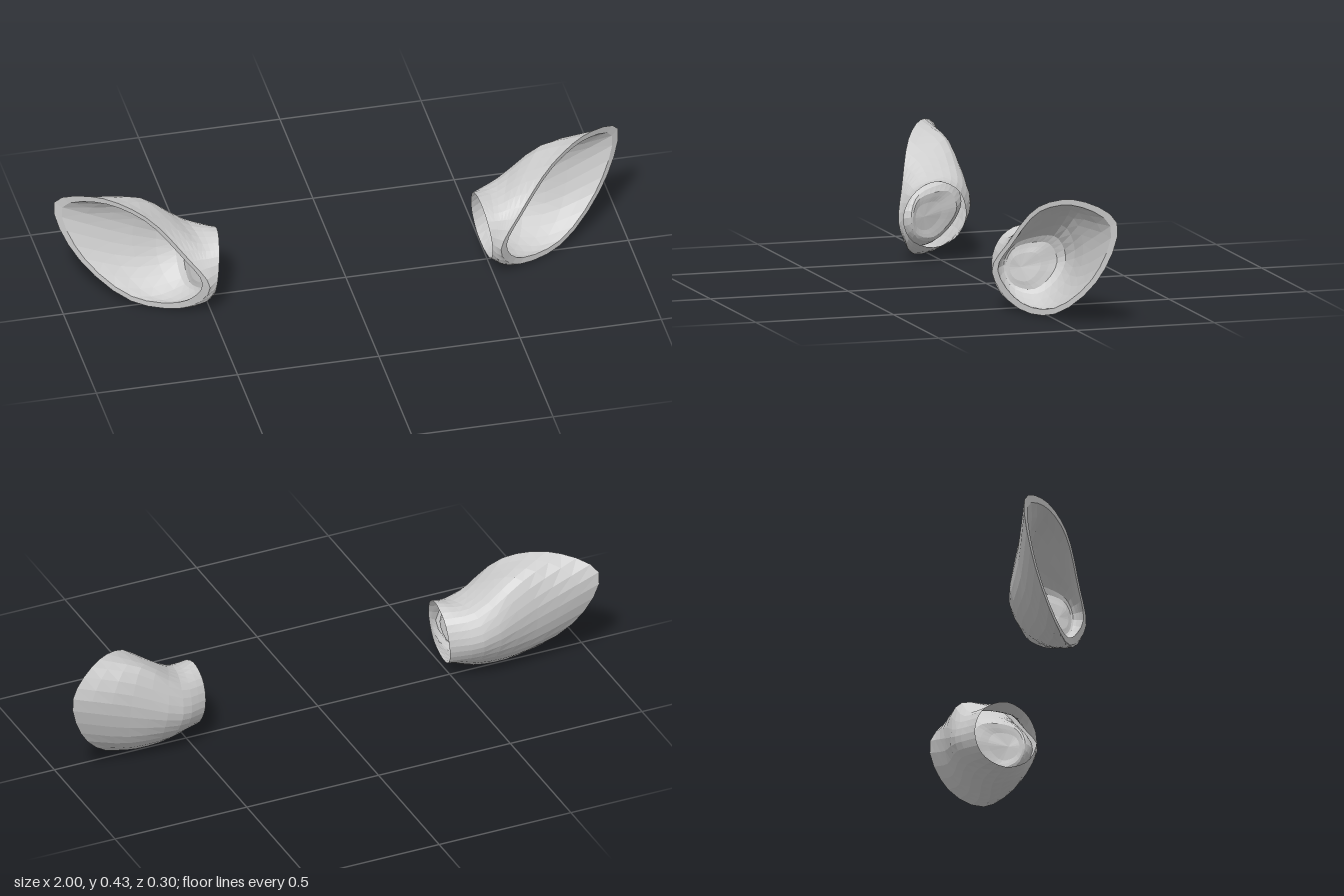
import * as THREE from 'three';

// Cross-section rings of one ear, from neck to rim.
// Each ring runs front, top, back, bottom through eight points.
const V = (x, y, z) => new THREE.Vector3(x, y, z);
const neck = [
  V(.485, .16, .14), V(.472, .245, .105), V(.46, .284, .03), V(.458, .25, -.05),
  V(.463, .165, -.08), V(.475, .085, -.05), V(.488, .05, .03), V(.49, .08, .11)];
const throat = [
  V(.495, .15, .142), V(.515, .243, .105), V(.535, .28, .005), V(.56, .275, -.09),
  V(.57, .19, -.132), V(.58, .105, -.1), V(.57, .024, 0), V(.52, .052, .11)];
const belly = [
  V(.505, .143, .145), V(.55, .247, .106), V(.63, .34, .005), V(.72, .385, -.095),
  V(.77, .275, -.135), V(.76, .115, -.098), V(.67, .006, .005), V(.55, .036, .1)];
const rim = [
  V(.515, .135, .148), V(.59, .25, .112), V(.72, .392, .045), V(.87, .432, -.055),
  V(.998, .37, -.148), V(.94, .18, -.11), V(.76, .02, 0), V(.58, .025, .088)];

const AROUND = 28;

// Evenly sampled closed ring
const sample = pts => {
  const curve = new THREE.CatmullRomCurve3(pts, true);
  return Array.from({ length: AROUND }, (_, i) => curve.getPoint(i / AROUND));
};

const centre = ring => ring.reduce((s, p) => s.add(p), V(0, 0, 0)).divideScalar(ring.length);

// Pull a ring towards a point
const shrink = (ring, amount, to = centre(ring)) => ring.map(p => p.clone().lerp(to, amount));

// Smooth rows between key rings
function smoothRows(rings, steps) {
  const curves = rings[0].map((_, i) => new THREE.CatmullRomCurve3(rings.map(r => r[i])));
  return Array.from({ length: steps + 1 }, (_, k) => curves.map(c => c.getPoint(k / steps)));
}

// Skin a list of rings; side -1 mirrors across x
function skin(rows, side) {
  const pos = [], index = [];
  rows.forEach(row => row.forEach(p => pos.push(p.x * side, p.y, p.z)));
  for (let r = 0; r < rows.length - 1; r++) {
    for (let i = 0; i < AROUND; i++) {
      const j = (i + 1) % AROUND;
      const a = r * AROUND + i, b = r * AROUND + j, c = a + AROUND, d = b + AROUND;
      if (side > 0) index.push(a, c, b, b, c, d);
      else index.push(a, b, c, b, d, c);
    }
  }
  const g = new THREE.BufferGeometry();
  g.setAttribute('position', new THREE.Float32BufferAttribute(pos, 3));
  g.setIndex(index);
  const flat = g.toNonIndexed();
  flat.computeVertexNormals();
  return flat;
}

export function createModel() {
  const grey = new THREE.MeshStandardMaterial({
    name: 'pale grey', color: 0xcccccc, flatShading: true, side: THREE.DoubleSide });

  const [n, t, b, r] = [neck, throat, belly, rim].map(sample);
  const outer = smoothRows([n, t, b, r], 9);

  // Narrow lip turning into the bowl
  const lipEdge = shrink(r, .1);

  // Hollow of the ear, closing near the neck
  const floor = V(.535, .15, .05);
  const bowl = smoothRows([lipEdge, shrink(b, .14), shrink(t, .3), shrink(t, .62, floor)], 8);
  bowl.push(t.map(() => floor.clone()));

  const model = new THREE.Group();
  model.name = 'earPair';
  for (const [name, side] of [['leftEar', 1], ['rightEar', -1]]) {
    const ear = new THREE.Group();
    ear.name = name;
    for (const [part, rows] of [['outerShell', outer], ['rimLip', [r, lipEdge]], ['innerBowl', bowl]]) {
      const mesh = new THREE.Mesh(skin(rows, side), grey);
      mesh.name = part;
      ear.add(mesh);
    }
    model.add(ear);
  }
  return model;
}
